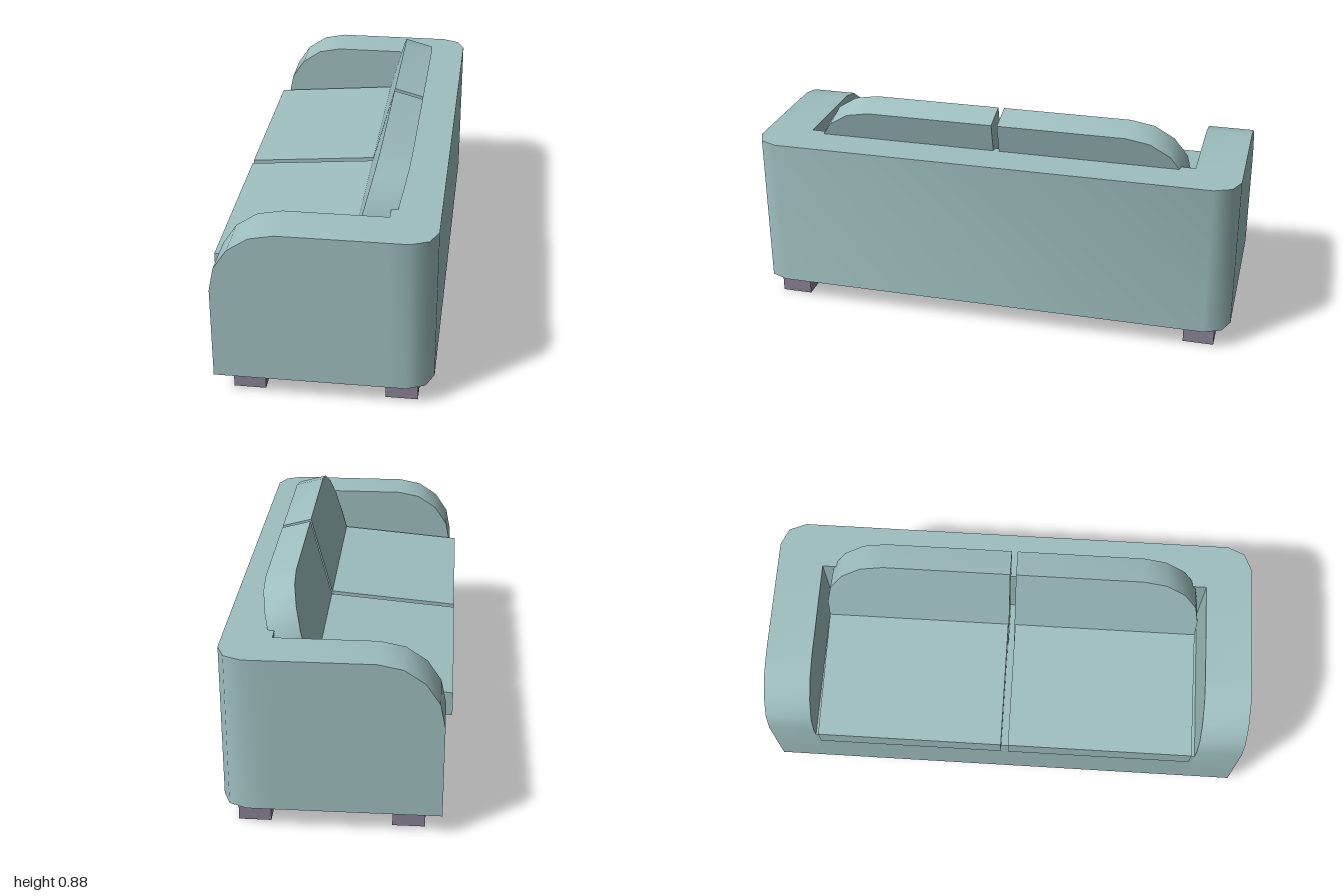
import * as THREE from 'three';
import { toCreasedNormals } from 'three/addons/utils/BufferGeometryUtils.js';

const fabric = new THREE.MeshStandardMaterial({ color: 0x9fbfbf });
fabric.name = 'sage fabric';
const wood = new THREE.MeshStandardMaterial({ color: 0x8a8194 });
wood.name = 'dusky wood';

// Extrude an outline, keeping hard edges but smoothing the coarse curves
function prism(points, depth) {
  const shape = new THREE.Shape(points.map(([x, y]) => new THREE.Vector2(x, y)));
  return new THREE.ExtrudeGeometry(shape, { depth, bevelEnabled: false });
}

// Quarter circle in four segments, from angle a0 to a1 (degrees)
function arc(cx, cy, r, a0, a1) {
  return Array.from({ length: 5 }, (_, i) => {
    const a = THREE.MathUtils.degToRad(a0 + ((a1 - a0) * i) / 4);
    return [cx + r * Math.cos(a), cy + r * Math.sin(a)];
  });
}

export function createModel() {
  const sofa = new THREE.Group();
  sofa.name = 'sofa';

  const add = (name, geometry, material) => {
    const mesh = new THREE.Mesh(toCreasedNormals(geometry, 0.8), material);
    mesh.name = name;
    sofa.add(mesh);
    return mesh;
  };
  const box = (name, x0, x1, y0, y1, z0, z1, material) => {
    const g = new THREE.BoxGeometry(x1 - x0, y1 - y0, z1 - z0);
    g.translate((x0 + x1) / 2, (y0 + y1) / 2, (z0 + z1) / 2);
    return add(name, g, material);
  };

  // Seat base between the arms
  box('seatBase', -0.41, 0.24, 0.09, 0.405, -0.81, 0.81, fabric);

  // Backrest frame with rounded rear corners, drawn in plan
  const corner = [[0.24, 1], [0.33, 1], [0.4, 0.97], [0.43, 0.9]];
  const plan = [...corner, ...corner.map(([x, z]) => [x, -z]).reverse()];
  const back = prism(plan, 0.63);
  back.rotateX(-Math.PI / 2).translate(0, 0.09, 0);
  add('backFrame', back, fabric);

  const armProfile = [[-0.41, 0.09], [0.24, 0.09], [0.24, 0.72], ...arc(-0.16, 0.47, 0.25, 90, 180)];

  for (const s of [-1, 1]) {
    const side = s > 0 ? 'Left' : 'Right';

    // Arm with rounded front top
    const arm = prism(armProfile, 0.19);
    arm.translate(0, 0, s > 0 ? 0.81 : -1);
    add('arm' + side, arm, fabric);

    // Seat cushion, rising slightly toward the back
    const seat = prism([[-0.435, 0.405], [0.2, 0.405], [0.2, 0.555], [-0.435, 0.5]], 0.77);
    seat.translate(0, 0, s > 0 ? 0.015 : -0.785);
    add('seatCushion' + side, seat, fabric);

    // Reclined back cushion with one rounded outer corner
    const outline = [[0.012, -0.48], [0.785, -0.48], ...arc(0.535, -0.25, 0.25, 0, 90), [0.012, 0]];
    const cushion = prism(outline.map(([z, v]) => [s * z, v]), 0.124);
    cushion.rotateY(-Math.PI / 2).translate(0.124, 0, 0);
    cushion.rotateZ(-Math.PI / 12).translate(0.18, 0.876, 0);
    add('backCushion' + side, cushion, fabric);

    // Square feet
    for (const [end, x] of [['front', -0.345], ['rear', 0.246]]) {
      const z = s > 0 ? 0.815 : -0.94;
      box(end + 'Foot' + side, x, x + 0.125, 0, 0.09, z, z + 0.125, wood);
    }
  }
  return sofa;
}
